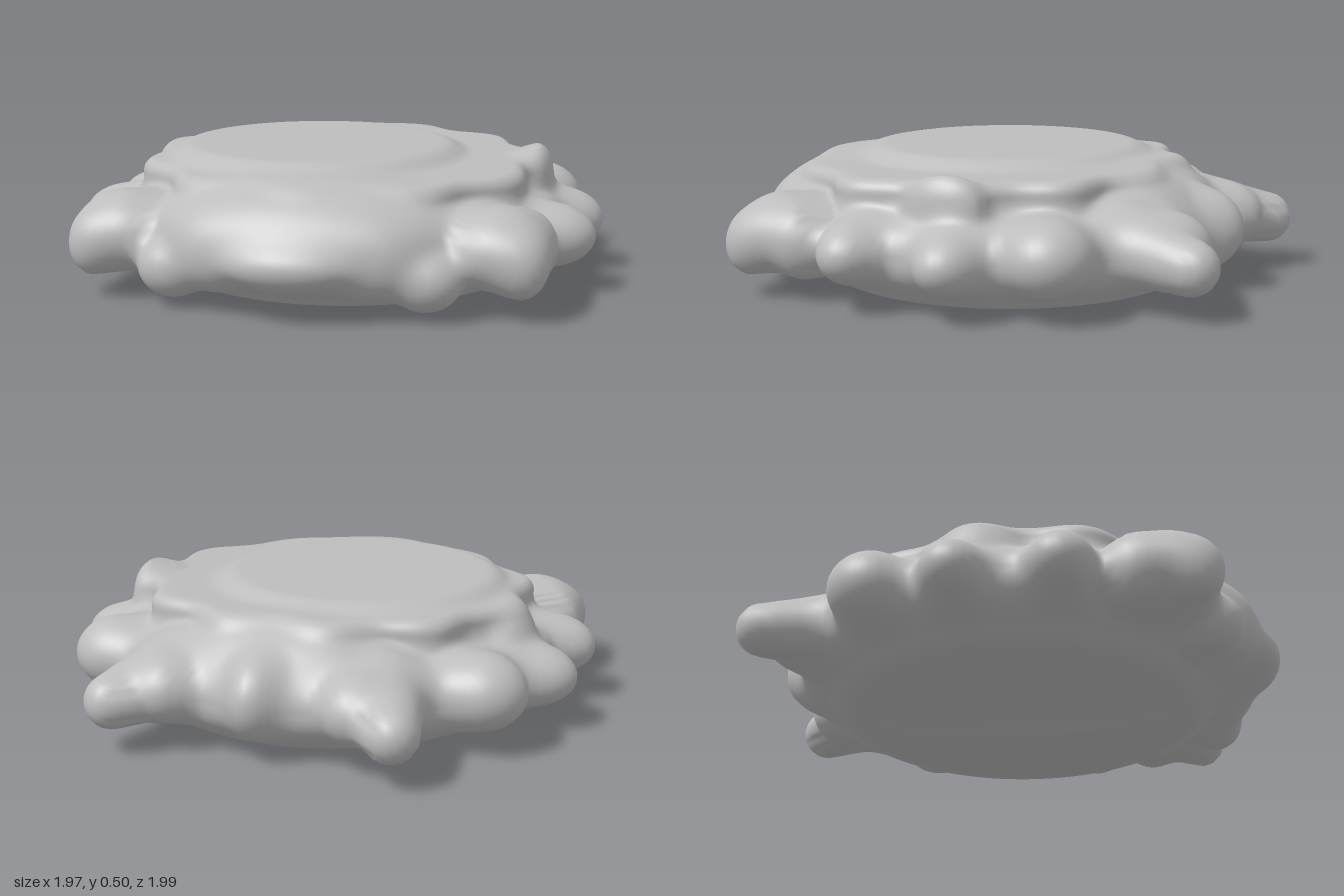
import * as THREE from 'three';

const { hypot, min, max, abs, cos, sin, PI } = Math;

// Distance helpers for the soft, merged forms
const blend = (a, b, k) => {
  const h = max(k - abs(a - b), 0) / k;
  return min(a, b) - h * h * k / 4;
};
const ellipsoid = (x, y, z, [cx, cy, cz, rx, ry, rz]) => {
  const a = (x - cx) / rx, b = (y - cy) / ry, c = (z - cz) / rz;
  const k = hypot(a, b, c);
  return k * (k - 1) / (hypot(a / rx, b / ry, c / rz) + 1e-6);
};
// Rounded disc between y0 and y1
const disc = (r, y, radius, y0, y1, round) => {
  const a = r - radius + round;
  const b = abs(y - (y0 + y1) / 2) - (y1 - y0) / 2 + round;
  return min(max(a, b), 0) + hypot(max(a, 0), max(b, 0)) - round;
};
const taperedLimb = (x, y, z, a, b, ra, rb) => {
  const d = b.map((v, i) => v - a[i]);
  const p = [x - a[0], y - a[1], z - a[2]];
  const dot = p[0] * d[0] + p[1] * d[1] + p[2] * d[2];
  const t = min(1, max(0, dot / (d[0] ** 2 + d[1] ** 2 + d[2] ** 2)));
  return hypot(p[0] - d[0] * t, p[1] - d[1] * t, p[2] - d[2] * t) - ra - (rb - ra) * t;
};

// Lumps: centre x, y, z and radii; these are mirrored left and right
const sideLumps = [
  [0.67, 0.23, 0.58, 0.20, 0.15, 0.20],  // front corner
  [0.77, 0.19, 0.69, 0.09, 0.11, 0.09],  // corner toe
  [0.76, 0.21, 0.47, 0.11, 0.13, 0.10],  // corner heel
  [0.80, 0.21, 0.23, 0.185, 0.12, 0.13], // front side
  [0.80, 0.20, -0.14, 0.185, 0.12, 0.13], // rear side
  [0.70, 0.22, -0.45, 0.17, 0.14, 0.16], // rear corner
  [0.45, 0.14, 0.74, 0.13, 0.11, 0.11],  // front foot
  [0.26, 0.20, 0.78, 0.17, 0.13, 0.12],  // front bump
  [0.35, 0.22, -0.76, 0.13, 0.13, 0.16], // horn web
];
const centreLumps = [
  [0, 0.20, 0.82, 0.27, 0.11, 0.175],     // front nose
  [0, 0.27, 0.60, 0.55, 0.19, 0.32],      // front slope
  [0, 0.28, -0.58, 0.42, 0.17, 0.22],     // rear slope
  [0, 0.23, -0.78, 0.11, 0.15, 0.16],     // rear knob
  [0.73, 0.38, -0.08, 0.06, 0.11, 0.14],  // left rim shard
  [-0.72, 0.34, -0.08, 0.08, 0.09, 0.13], // right rim shard
];
const hollow = [0, 0, 0, 0.13, 0.03, 0.55]; // shallow groove under the base

function distance(x, y, z) {
  const ax = abs(x);
  const r = hypot(x, z);
  const angle = Math.atan2(ax, z);
  // Base, wide belt, scalloped upper plate and raised centre
  let d = disc(r, y, 0.77, 0, 0.34, 0.15);
  d = blend(d, disc(r, y, 0.86, 0.07, 0.33, 0.12), 0.06);
  const rim = 0.71 + 0.025 * cos(angle * 11);
  d = blend(d, disc(hypot(x / 1.05, z - 0.05), y, rim, 0.22, 0.455 - 0.02 * z, 0.05), 0.06);
  d = blend(d, disc(hypot(x + 0.1, z - 0.05), y, 0.55, 0.3, 0.495, 0.07), 0.06);
  for (const l of sideLumps) d = blend(d, ellipsoid(ax, y, z, l), 0.06);
  for (const l of centreLumps) d = blend(d, ellipsoid(x, y, z, l), 0.06);
  // Rear horns
  const horn = taperedLimb(ax, y, z, [0.40, 0.23, -0.60], [0.51, 0.19, -0.895], 0.14, 0.1);
  return -blend(-blend(d, horn, 0.06), ellipsoid(x, y, z, hollow), 0.02);
}

// Rings run from the top centre, over the rim, down the side and under the base
function ringProfile() {
  const stops = [[0, 0.5, 40], [0.72, 0.47, 14], [0.86, 0.38, 40], [0.86, 0.06, 12], [0.66, 0, 18], [0, 0, 0]];
  const rings = [];
  for (let i = 0; i < stops.length - 1; i++) {
    const [r0, y0, n] = stops[i], [r1, y1] = stops[i + 1];
    for (let j = 0; j < n; j++) rings.push([r0 + (r1 - r0) * j / n, y0 + (y1 - y0) * j / n]);
  }
  rings.push([0, 0]);
  return rings;
}

function bodyGeometry() {
  const SEG = 220, MID = 0.22;
  const rings = ringProfile();
  const pos = [], index = [];
  rings.forEach(([r, y], row) => {
    for (let s = 0; s < SEG; s++) {
      const a = s / SEG * 2 * PI;
      const dir = new THREE.Vector3(r * sin(a), y - MID, r * cos(a)).normalize();
      const at = t => distance(dir.x * t, MID + dir.y * t, dir.z * t);
      // Step inward to the outer surface, then refine
      let hi = 1.25;
      while (hi > 0.05 && at(hi - 0.015) > 0) hi -= 0.015;
      let lo = hi - 0.015;
      for (let i = 0; i < 9; i++) {
        const m = (lo + hi) / 2;
        if (at(m) > 0) hi = m; else lo = m;
      }
      pos.push(dir.x * lo, MID + dir.y * lo, dir.z * lo);
      if (row < rings.length - 1) {
        const n = (s + 1) % SEG, p = row * SEG, q = p + SEG;
        index.push(p + s, q + s, q + n, p + s, q + n, p + n);
      }
    }
  });
  const g = new THREE.BufferGeometry();
  g.setAttribute('position', new THREE.Float32BufferAttribute(pos, 3));
  g.setIndex(index);
  g.computeVertexNormals();
  return g;
}

export function createModel() {
  const stone = new THREE.MeshStandardMaterial({ color: 0xbdbdbd });
  stone.name = 'pale grey';
  const group = new THREE.Group();
  group.name = 'lumpyDisc';
  const body = new THREE.Mesh(bodyGeometry(), stone);
  body.name = 'lumpyBody';
  group.add(body);
  return group;
}
